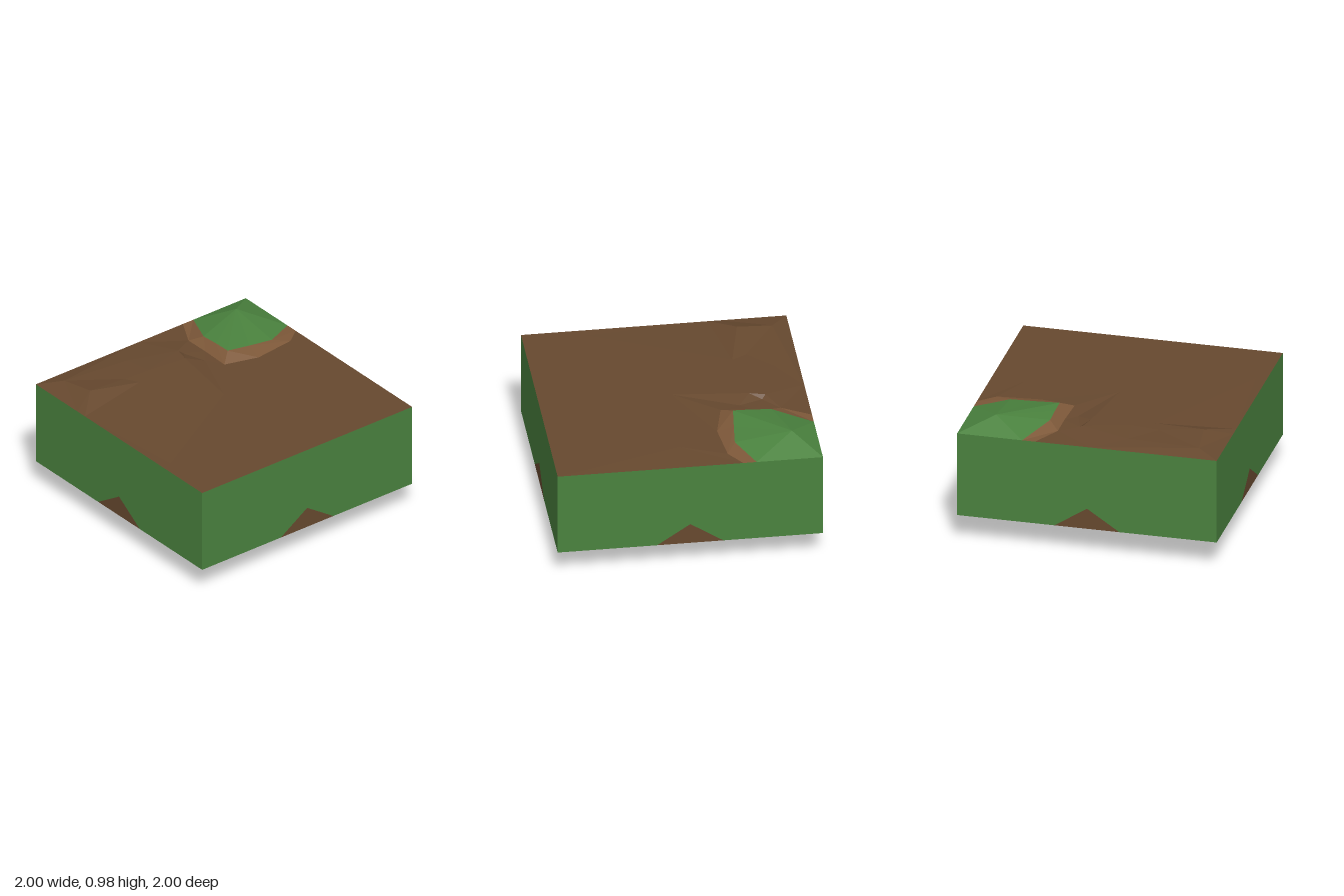
import * as THREE from 'three';

const GREEN = 0x4a823e, EARTH = 0x67492f, CLAY = 0x7d5839;
const TOP = 0.88, BASE = 0.21;

function mesh(name, geometry, color) {
  const material = new THREE.MeshStandardMaterial({ color, flatShading: true, roughness: 1 });
  const m = new THREE.Mesh(geometry, material);
  m.name = name;
  return m;
}

// Flat-shaded mesh from [x, y, z] triangles, all wound to face up (1) or down (-1)
function facets(name, tris, color, facing = 1) {
  const data = [];
  for (const [a, b, c] of tris) {
    const up = (b[2] - a[2]) * (c[0] - a[0]) - (b[0] - a[0]) * (c[2] - a[2]);
    data.push(...a, ...(up * facing > 0 ? [...b, ...c] : [...c, ...b]));
  }
  const g = new THREE.BufferGeometry();
  g.setAttribute('position', new THREE.Float32BufferAttribute(data, 3));
  g.computeVertexNormals();
  return mesh(name, g, color);
}

// Delaunay triangulation over x and z, adding one point at a time
function triangulate(points) {
  const far = [[-900, 0, -800], [950, 0, -820], [10, 0, 990]];
  let tris = [far];
  const inCircle = ([a, b, c], p) => {
    const [ax, az, bx, bz, cx, cz] = [a, b, c].flatMap((q) => [q[0] - p[0], q[2] - p[2]]);
    const det = (ax * ax + az * az) * (bx * cz - cx * bz)
      - (bx * bx + bz * bz) * (ax * cz - cx * az)
      + (cx * cx + cz * cz) * (ax * bz - bx * az);
    const turn = (b[0] - a[0]) * (c[2] - a[2]) - (b[2] - a[2]) * (c[0] - a[0]);
    return det * Math.sign(turn) > 1e-9;
  };
  for (const p of points) {
    const bad = tris.filter((t) => inCircle(t, p));
    const edges = bad.flatMap(([a, b, c]) => [[a, b], [b, c], [c, a]]);
    const rim = edges.filter((e) => edges.filter((f) => f.includes(e[0]) && f.includes(e[1])).length === 1);
    tris = tris.filter((t) => !bad.includes(t)).concat(rim.map(([a, b]) => [a, b, p]));
  }
  return tris.filter((t) => {
    const [a, b, c] = t;
    const area = (b[0] - a[0]) * (c[2] - a[2]) - (b[2] - a[2]) * (c[0] - a[0]);
    return !t.some((q) => far.includes(q)) && Math.abs(area) > 1e-6;
  });
}

const corners = (y) => [[-1, y, -1], [1, y, -1], [1, y, 1], [-1, y, 1]];

export function createModel() {
  const group = new THREE.Group();
  group.name = 'terrainTile';

  // Four side walls, each with an earth triangle let into the lower edge
  const wall = new THREE.Shape([[-1, BASE], [-0.25, BASE], [0, 0.375], [0.25, BASE], [1, BASE], [1, TOP], [-1, TOP]]
    .map(([x, y]) => new THREE.Vector2(x, y)));
  const patch = new THREE.Shape([[-0.25, BASE], [0.25, BASE], [0, 0.375]]
    .map(([x, y]) => new THREE.Vector2(x, y)));
  for (let i = 0; i < 4; i++) {
    const side = new THREE.Group();
    side.name = 'side' + (i + 1);
    for (const [name, shape, color] of [['wall', wall, GREEN], ['earthPatch', patch, EARTH]]) {
      side.add(mesh(name, new THREE.ShapeGeometry(shape).translate(0, 0, 1), color));
    }
    side.rotation.y = i * Math.PI / 2;
    group.add(side);
  }

  // Corner hill: grassy cap as a fan, sloping clay bank as a strip
  const rim = [[-0.5, TOP, -1], [-0.37, 0.91, -0.75], [-0.39, 0.925, -0.55], [-0.41, 0.943, -0.36],
    [-0.55, 0.94, -0.36], [-0.7, 0.93, -0.36], [-1, TOP, -0.5]];
  const foot = [[-0.4, TOP, -1], [-0.3, 0.888, -0.87], [-0.265, 0.885, -0.54], [-0.33, 0.895, -0.265],
    [-0.58, 0.887, -0.28], [-0.78, 0.885, -0.28], [-1, TOP, -0.4]];
  const peak = [-0.8, 0.975, -0.75];
  const outline = [...rim, [-1, TOP, -1]];
  group.add(facets('hillCap', outline.map((p, i) => [peak, p, outline[(i + 1) % outline.length]]), GREEN));
  const bank = rim.slice(1).flatMap((p, i) => [[rim[i], p, foot[i]], [p, foot[i + 1], foot[i]]]);
  group.add(facets('hillBank', bank, CLAY));

  // Uneven earth surface with a ridge along one side
  const ground = [...corners(TOP), ...foot,
    [-0.69, 0.905, -0.11], [-0.57, 0.907, -0.08], [-0.66, 0.882, -0.14], [-0.48, 0.882, -0.2],
    [0, 0.893, 0], [0.7, 0.883, -0.6], [0.05, 0.886, -0.72], [0.72, 0.883, 0.65], [0.52, 0.882, 0.92],
    [-1, TOP, 0.02], [-0.82, 0.9, 0.27], [-0.6, 0.91, 0.24], [-0.62, 0.905, 0.46], [-0.51, 0.905, 0.4],
    [-0.87, 0.91, 0.83], [-0.6, 0.94, 0.8], [-0.5, TOP, 1], [-0.41, TOP, 1]];
  group.add(facets('ground', triangulate(ground), EARTH));

  // Faceted underside, green with one earth corner
  const under = triangulate([...corners(BASE),
    [-0.37, 0, 0.13], [-0.29, 0, 0.13], [-0.39, 0.075, -0.5], [0.03, 0.19, -0.55], [0.08, 0.19, -0.04],
    [0.5, 0.15, 0], [0, 0.19, 0.57], [0.5, 0.185, -0.5], [0.5, 0.175, 0.5], [0.92, BASE, 0.03],
    [-0.5, 0.155, 0.62], [-0.37, 0.185, 0.87], [-0.75, 0.172, 0.75], [-1, BASE, 0.5], [-0.25, BASE, 1],
    [-0.75, 0.18, -0.5], [-0.4, BASE, -0.86], [0.4, BASE, -0.87], [-1, BASE, 0], [0.3, BASE, 1]]);
  const isEarth = (t) => Math.hypot(
    (t[0][0] + t[1][0] + t[2][0]) / 3 + 1, (t[0][2] + t[1][2] + t[2][2]) / 3 - 1) < 0.64;
  group.add(facets('undersideGrass', under.filter((t) => !isEarth(t)), GREEN, -1));
  group.add(facets('undersideEarth', under.filter(isEarth), EARTH, -1));

  return group;
}
